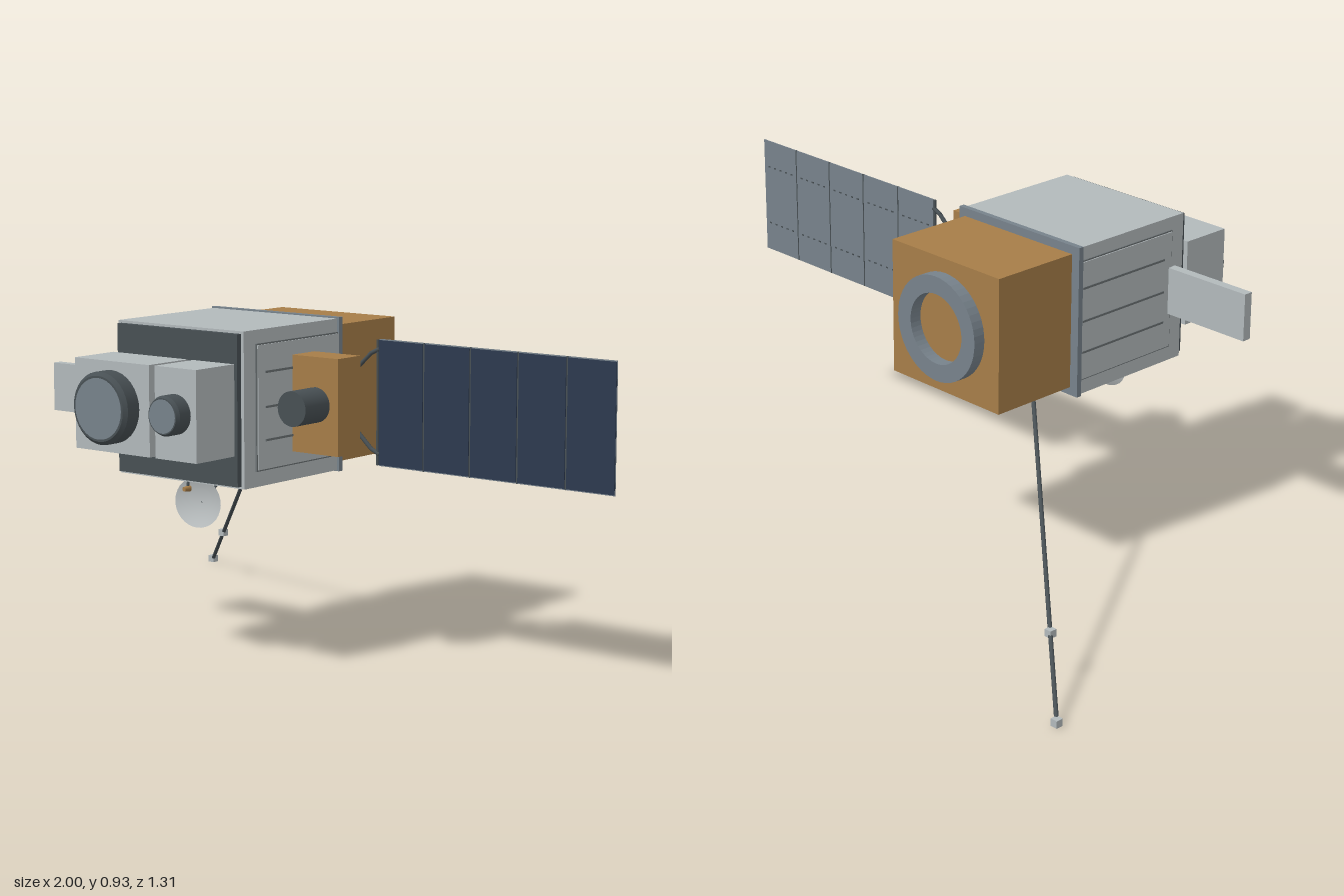
import * as THREE from 'three';

const mat = (name, color, side = THREE.FrontSide) => {
  const m = new THREE.MeshStandardMaterial({ color, side });
  m.name = name;
  return m;
};

export function createModel() {
  const g = new THREE.Group();
  g.name = 'satellite';
  const white = mat('lightGrey', 0xb2b9bb);
  const dishMat = mat('dishGrey', 0xb8bdbe, THREE.DoubleSide);
  const dark = mat('darkGrey', 0x485054);
  const gold = mat('goldFoil', 0xa67d48);
  const navy = mat('solarNavy', 0x2d3a4f);
  const steel = mat('steel', 0x77828b);
  const seam = mat('seamGrey', 0x6a7072);

  const add = (name, geo, m, x = 0, y = 0, z = 0, parent = g) => {
    const mesh = new THREE.Mesh(geo, m);
    mesh.name = name;
    mesh.position.set(x, y, z);
    parent.add(mesh);
    return mesh;
  };
  // box given by its extents
  const box = (name, m, x0, x1, y0, y1, z0, z1, parent = g) =>
    add(name, new THREE.BoxGeometry(x1 - x0, y1 - y0, z1 - z0), m,
      (x0 + x1) / 2, (y0 + y1) / 2, (z0 + z1) / 2, parent);
  // cylinder along z
  const barrel = (name, m, x, y, r, z0, z1, n = 32, r1 = r) =>
    add(name, new THREE.CylinderGeometry(r1, r, z1 - z0, n).rotateX(Math.PI / 2), m, x, y, (z0 + z1) / 2);
  // rod between two points
  const rod = (name, m, a, b, r) => {
    const p = new THREE.Vector3(...a), q = new THREE.Vector3(...b);
    const d = q.clone().sub(p), mid = p.clone().add(q).multiplyScalar(0.5);
    const mesh = add(name, new THREE.CylinderGeometry(r, r, d.length(), 8), m, mid.x, mid.y, mid.z);
    mesh.quaternion.setFromUnitVectors(new THREE.Vector3(0, 1, 0), d.normalize());
    return mesh;
  };

  // Main bus
  box('busBody', white, -0.395, 0.055, 0.505, 0.93, 0.03, 0.43);
  box('frontPlate', dark, -0.385, 0.045, 0.512, 0.923, 0.43, 0.446);
  box('rearFlange', steel, -0.402, 0.062, 0.502, 0.934, 0.014, 0.03);

  // Louvred panels on both sides
  for (const [s, x] of [[1, 0.055], [-1, -0.395]]) {
    const side = (name, m, t, y0, y1, z0, z1) =>
      box(name, m, Math.min(x, x + s * t), Math.max(x, x + s * t), y0, y1, z0, z1);
    side('sidePanelEdge', seam, 0.004, 0.547, 0.893, 0.03, 0.383);
    side('sidePanel', white, 0.007, 0.551, 0.889, 0.03, 0.379);
    for (const y of [0.63, 0.72, 0.815]) side('louvre', seam, 0.01, y - 0.003, y + 0.003, 0.03, 0.35);
  }

  // Rear foil-covered module with docking ring
  box('propulsionModule', gold, -0.375, 0.04, 0.525, 0.91, -0.255, 0.015);
  const ring = [[0.1, 0], [0.15, 0], [0.15, 0.037], [0.1, 0.037], [0.1, 0]].map(p => new THREE.Vector2(...p));
  const ringGeo = new THREE.LatheGeometry(ring, 48).toNonIndexed();
  ringGeo.computeVertexNormals();
  add('adapterRing', ringGeo.rotateX(-Math.PI / 2), steel, -0.17, 0.72, -0.254);

  // Two front instruments
  for (const [x0, x1, cx, r, z] of [[-0.4, -0.13, -0.265, 0.099, 0.654], [-0.11, 0.035, -0.038, 0.054, 0.652]]) {
    box('instrumentBox', white, x0, x1, 0.595, 0.843, 0.446, 0.6);
    barrel('instrumentBarrel', dark, cx, 0.72, r, 0.6, z - 0.01);
    barrel('instrumentRim', dark, cx, 0.72, r, z - 0.01, z, 32, r * 0.9);
    barrel('instrumentLens', steel, cx, 0.72, r * 0.84, z - 0.002, z + 0.001);
  }

  // Side camera
  box('cameraBox', gold, 0.062, 0.22, 0.585, 0.85, 0.138, 0.235);
  barrel('cameraBarrel', dark, 0.143, 0.72, 0.048, 0.235, 0.338);

  // Radiator plate
  box('radiatorPlate', white, -0.68, -0.4, 0.65, 0.786, 0.369, 0.396);

  // Solar array: hub, yoke, five segments
  add('arrayHub', new THREE.CylinderGeometry(0.026, 0.026, 0.02, 24).rotateZ(Math.PI / 2), steel, 0.067, 0.72, 0.082);
  for (const s of [-1, 1]) {
    rod('yokeArm', dark, [0.07, 0.72, 0.082], [0.215, 0.72 + s * 0.132, 0.082], 0.006);
    rod('yokeTip', dark, [0.215, 0.72 + s * 0.132, 0.082], [0.243, 0.72 + s * 0.145, 0.082], 0.006);
  }
  rod('yokeBar', dark, [0.237, 0.545, 0.082], [0.237, 0.89, 0.082], 0.004);
  const w = 0.152;
  for (let i = 0; i < 5; i++) {
    const x0 = 0.24 + i * w, x1 = x0 + w;
    box('panelBacking', steel, x0 + 0.002, x1 - 0.002, 0.543, 0.892, 0.079, 0.082);
    box('solarCells', navy, x0 + 0.003, x1 - 0.003, 0.546, 0.889, 0.082, 0.085);
    if (i) box('panelHinge', dark, x0 - 0.002, x0 + 0.002, 0.543, 0.892, 0.0785, 0.0835);
    for (const y of [0.63, 0.81])
      for (let k = 0; k < 5; k++)
        box('panelFastener', dark, x0 + 0.02 + k * 0.026, x0 + 0.028 + k * 0.026, y - 0.002, y + 0.002, 0.0775, 0.079);
  }

  // Sensor boom with two nodes
  const start = [-0.31, 0.532, -0.065], end = [-0.99, 0.012, -0.645];
  rod('sensorBoom', dark, start, end, 0.006);
  add('boomSensor', new THREE.BoxGeometry(0.021, 0.021, 0.021), white, ...end);
  add('boomSensor', new THREE.BoxGeometry(0.021, 0.021, 0.021), white, -0.821, 0.141, -0.5);

  // Dish antenna, feed and struts
  const prof = [];
  for (let i = 0; i <= 8; i++) {
    const r = (i / 8) * 0.083;
    prof.push(new THREE.Vector2(r, 0.016 * (i / 8) ** 2));
  }
  const dish = add('dish', new THREE.LatheGeometry(prof, 32).rotateX(Math.PI / 2), dishMat, -0.17, 0.434, 0.347);
  dish.scale.y = 0.84;
  dish.rotation.x = -0.08;
  rod('dishStrut', dark, [-0.17, 0.432, 0.346], [-0.17, 0.515, 0.22], 0.004);
  rod('feedStrut', dark, [-0.17, 0.48, 0.405], [-0.17, 0.51, 0.4], 0.004);
  barrel('feedHorn', gold, -0.17, 0.48, 0.009, 0.398, 0.42, 16, 0.006);

  return g;
}
